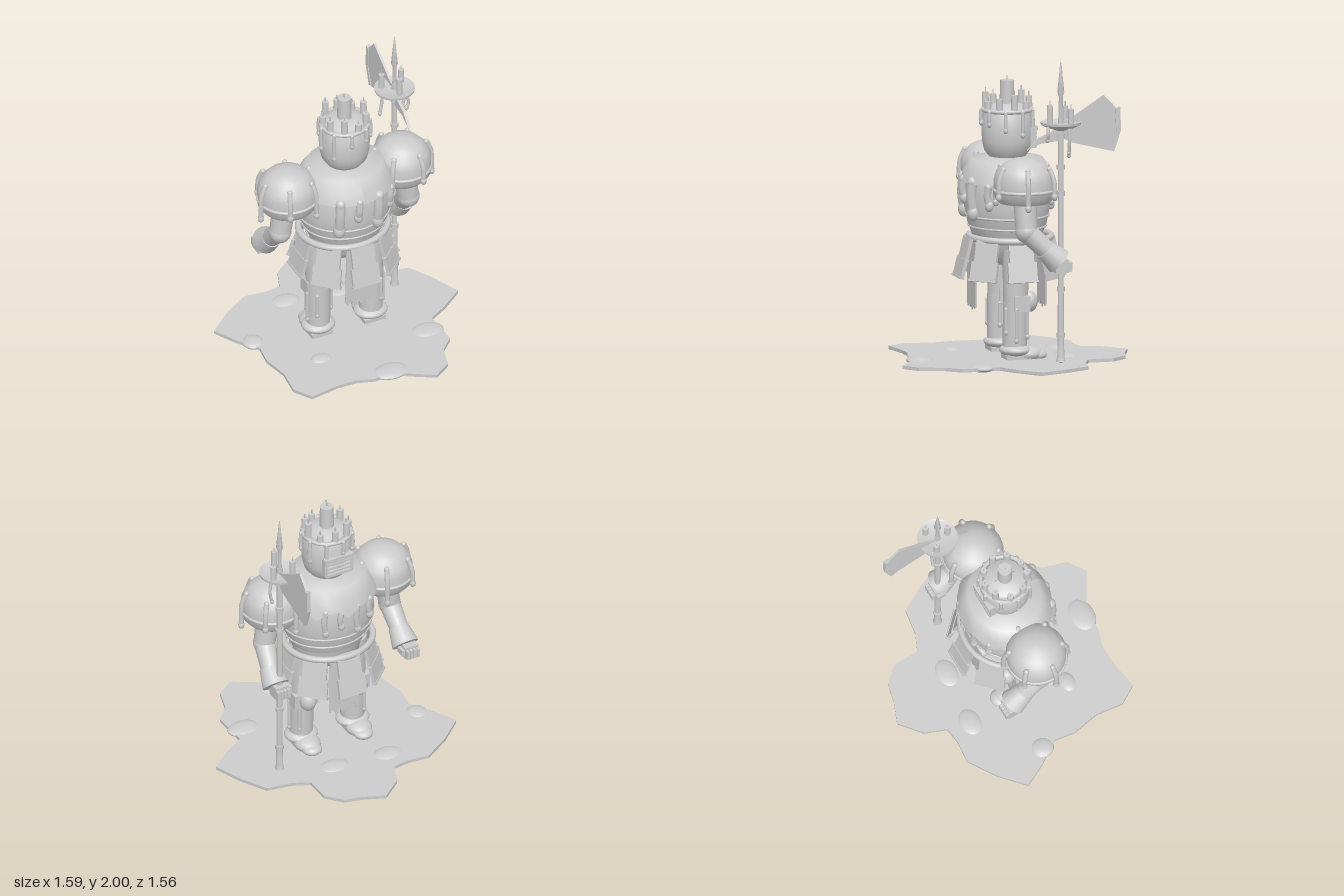
import * as THREE from 'three';
import { toCreasedNormals } from 'three/addons/utils/BufferGeometryUtils.js';

const wax = new THREE.MeshStandardMaterial({ color: 0xcccccc, side: THREE.DoubleSide });
wax.name = 'pale wax';
const V = (x, y, z) => new THREE.Vector3(x, y, z);
const CX = -0.013, CZ = 0.008; // body axis

export function createModel() {
  const root = new THREE.Group();
  root.name = 'waxKnight';
  const add = (name, geo, x = 0, y = 0, z = 0, parent = root) => {
    const m = new THREE.Mesh(geo, wax);
    m.name = name;
    m.position.set(x, y, z);
    parent.add(m);
    return m;
  };
  const box = (name, w, h, d, x, y, z, p) => add(name, new THREE.BoxGeometry(w, h, d), x, y, z, p);
  const ball = (name, rx, ry, rz, x, y, z, p) => {
    const m = add(name, new THREE.SphereGeometry(1, 20, 12), x, y, z, p);
    m.scale.set(rx, ry, rz);
    return m;
  };
  const lathe = (name, pts, x, z, sz = 1, seg = 28, p = root) => {
    const g = new THREE.LatheGeometry(pts.map(q => new THREE.Vector2(q[0], q[1])).reverse(), seg);
    g.scale(1, 1, sz);
    return add(name, toCreasedNormals(g, 0.7), x, 0, z, p);
  };
  // tapered cylinder between two points
  const limb = (name, a, b, ra, rb, seg = 18) => {
    const d = b.clone().sub(a);
    const m = add(name, new THREE.CylinderGeometry(rb, ra, d.length(), seg));
    m.position.copy(a).addScaledVector(d, 0.5);
    m.quaternion.setFromUnitVectors(V(0, 1, 0), d.normalize());
    return m;
  };
  const torus = (name, r, t, x, y, z, sz = 1) => {
    const m = add(name, new THREE.TorusGeometry(r, t, 10, 36), x, y, z);
    m.rotation.x = Math.PI / 2;
    m.scale.y = sz;
    return m;
  };
  // wax run: a tube along points ending in a bead
  const drip = (name, pts, r) => {
    add(name, new THREE.TubeGeometry(new THREE.CatmullRomCurve3(pts), 8, r, 8));
    ball(name + 'Cap', r, r, r, ...pts[0].toArray());
    const e = pts[pts.length - 1];
    ball(name + 'Bead', r * 1.2, r * 1.6, r * 1.2, e.x, e.y, e.z);
  };
  const candle = (x, y, z, r, h) => {
    add('candle', new THREE.CylinderGeometry(r * 0.92, r, h, 14), x, y + h / 2, z);
    add('wick', new THREE.CylinderGeometry(0.004, 0.004, 0.03, 6), x, y + h + 0.015, z);
  };
  // flat outline in the x/y plane, centred on its thickness
  const plate = (name, pts, t) => {
    const g = new THREE.ExtrudeGeometry(new THREE.Shape(pts.map(p => new THREE.Vector2(...p))), { depth: t, bevelEnabled: false });
    g.translate(0, 0, -t / 2);
    return add(name, g);
  };

  // Ragged wax slab
  const slab = plate('groundSlab', [
    [-.015, -.785], [.12, -.73], [.245, -.7], [.335, -.6], [.34, -.43], [.45, -.38], [.615, -.355], [.71, -.19],
    [.79, .005], [.645, .12], [.51, .2], [.52, .45], [.43, .54], [.385, .695], [.27, .775], [.15, .705], [.03, .63],
    [-.105, .64], [-.22, .605], [-.35, .605], [-.545, .64], [-.62, .52], [-.6, .34], [-.635, .16], [-.615, .02],
    [-.72, -.13], [-.795, -.275], [-.64, -.415], [-.46, -.53], [-.32, -.515], [-.21, -.53], [-.155, -.67]], 0.022);
  slab.rotation.x = Math.PI / 2;
  slab.position.y = 0.026;
  for (const [x, z, rx, rz] of [[-.24, -.38, .1, .075], [.12, -.34, .105, .075], [-.62, -.07, .07, .075],
    [-.315, .29, .075, .055], [.43, .3, .11, .082], [.03, .595, .12, .085]])
    ball('waxPuddle', rx, 0.026, rz, x, 0.027, z);

  // Torso, mantle and belt
  lathe('hips', [[0, .82], [.24, .8], [.22, .7], [.14, .63], [0, .61]], CX, CZ, 0.8);
  lathe('torso', [[0, 1.31], [.24, 1.3], [.285, 1.22], [.305, 1.1], [.31, 1], [.285, .89], [.25, .81], [0, .8]], CX, CZ, 0.88);
  const mantle = new THREE.LatheGeometry([[.325, 1.16], [.3, 1.23], [.25, 1.3], [.12, 1.315]].map(p => new THREE.Vector2(...p)), 28);
  const mp = mantle.attributes.position;
  for (let i = 0; i < mp.count; i++) {
    const z = mp.getZ(i);
    if (mp.getY(i) < 1.17 && z < 0.12) mp.setY(i, 1.15 + 0.035 * Math.sin(i * 2.1));
    mp.setZ(i, z * 0.92);
  }
  mantle.computeVertexNormals();
  add('raggedMantle', mantle, CX, 0, CZ);
  torus('belt', 0.29, 0.022, CX, 0.8, -0.012, 0.9);
  for (const y of [.87, .94]) torus('waistBand', y === .87 ? .277 : .297, 0.008, CX, y, CZ, 0.88);
  for (const [x, y, l] of [[-.16, 1.17, .21], [-.04, 1.17, .12], [.105, 1.17, .2], [.22, 1.15, .12]]) {
    const z = 0.29 * Math.sqrt(1 - (x + .013) ** 2 / .1);
    drip('backDrip', [V(x, y, z), V(x - .005, y - l * .5, z + .005), V(x - .005, y - l, z - .008)], y > 1.16 && l > .15 ? .033 : .025);
  }
  for (const [x, y, l] of [[-.2, 1.16, .12], [-.09, 1.17, .18], [.03, 1.15, .1], [.13, 1.17, .16]]) {
    const z = -0.27 * Math.sqrt(1 - (x + .013) ** 2 / .1);
    drip('chestDrip', [V(x, y, z), V(x + .01, y - l * .5, z), V(x, y - l, z)], .02);
  }

  // Two-tier skirt plates
  for (let i = 0; i < 8; i++) {
    const g = new THREE.Group();
    g.name = 'skirtPlate';
    g.position.set(CX, 0, -0.005);
    g.rotation.y = i * Math.PI / 4;
    root.add(g);
    for (const [w, h, y, z] of [[.16, .14, .73, .285], [.19, .12, .61, .32]]) {
      const b = box('skirtPanel', w, h, .022, 0, y, z, g);
      b.rotation.x = -0.24;
      const rim = box('skirtPanelRim', w + .01, .014, .03, 0, y - h / 2, z + .016, g);
      rim.rotation.x = -0.24;
    }
  }
  for (const z of [.24, -.222])
    plate('tabard', [[-.11, .79], [-.118, .37], [-.1, .345], [-.08, .39], [-.055, .345], [-.03, .375], [-.005, .335],
      [.02, .38], [.05, .345], [.07, .385], [.09, .36], [.088, .79]], .008).position.z = z;

  for (const s of [-1, 1]) {
    const lx = CX + s * 0.185;
    // Leg and boot
    limb('thigh', V(lx, .38, .005), V(lx, .74, 0), .078, .088);
    limb('shin', V(lx, .08, .01), V(lx, .4, .005), .076, .08);
    ball('kneeCap', .055, .07, .055, lx, .4, -.085);
    box('kneePlate', .17, .1, .1, lx, .395, -.02);
    ball('ankleCuff', .112, .042, .1, lx, .092, .008);
    ball('boot', .085, .05, .1, lx, .065, -.07);
    ball('toeCap', .065, .035, .065, lx, .055, -.135);
    box('bootSole', .15, .03, .16, lx, .05, 0);
    for (const [a, y, l] of [[1.4, .36, .2], [.5, .36, .15], [-1.3, .35, .14], [2.5, .34, .16]]) {
      const x = lx + s * Math.sin(a) * .082, z = .005 + Math.cos(a) * .082;
      drip('legDrip', [V(x, y, z), V(x, y - l / 2, z), V(x, y - l, z)], .012);
    }

    // Pauldron with wax runs
    const px = CX + s * 0.4;
    lathe('pauldron', [[0, 1.36], [.07, 1.353], [.13, 1.325], [.175, 1.275], [.193, 1.22], [.192, 1.16],
      [.2, 1.155], [.19, 1.105], [.16, 1.07], [0, 1.06]], px, .005);
    torus('pauldronRim', .19, .012, px, 1.15, .005);
    for (let i = 0; i < 6; i++) {
      const a = i * Math.PI / 3 + .35, c = Math.sin(a) * s, d = Math.cos(a), l = i % 2 ? .06 : 0;
      drip('pauldronDrip', [V(px + c * .17, 1.295, d * .17), V(px + c * .2, 1.22, d * .2), V(px + c * .205, 1.12 - l, d * .205)], .017);
    }

    // Arm reaching forward to the hand
    const elbow = V(CX + s * .452, .89, .005), wrist = V(s * .468, .74, -.15);
    limb('upperArm', V(CX + s * .42, 1.12, .01), elbow, .075, .07);
    ball('elbow', .073, .073, .073, elbow.x, elbow.y, elbow.z);
    limb('forearm', elbow, wrist, .068, .06);
    limb('gauntletCuff', V(s * .466, .775, -.11), V(s * .468, .695, -.2), .066, .088);
    const hx = s > 0 ? .45 : -.485;
    box('hand', .095, .085, .085, hx, .665, -.215);
    for (let i = 0; i < 4; i++) box('finger', .02, .06, .035, hx - .036 + i * .024, .66, -.265);
    box('thumb', .03, .04, .06, hx - s * .055, .67, -.225);
  }

  // Helmet with crest, visor bars
  lathe('helmet', [[0, 1.655], [.08, 1.65], [.13, 1.625], [.153, 1.57], [.163, 1.49], [.16, 1.41], [.145, 1.35], [.115, 1.31], [0, 1.3]], CX, CZ);
  const crest = add('helmetCrest', new THREE.TorusGeometry(.15, .01, 8, 20, Math.PI), CX, 1.51, CZ);
  crest.rotation.y = Math.PI / 2;
  box('visorBrow', .2, .03, .04, CX, 1.495, -.148);
  for (let i = 0; i < 3; i++) box('visorBar', .18, .014, .03, CX, 1.465 - i * .028, -.148);
  for (const s of [-1, 1]) box('visorCheek', .02, .12, .04, CX + s * .092, 1.44, -.138);
  box('visorChin', .19, .02, .04, CX, 1.38, -.142);

  // Candle crown
  torus('crownRing', .155, .014, CX, 1.612, CZ);
  candle(CX, 1.62, CZ, .048, .18);
  for (let i = 0; i < 9; i++) {
    const a = i * Math.PI * 2 / 9 + .25, c = Math.sin(a), d = Math.cos(a);
    candle(CX + c * .14, 1.61, CZ + d * .14, .023, .06 + .05 * ((i * 4) % 3) / 2);
    const b = a + .3, l = .07 + .1 * ((i * 5) % 4) / 3, e = Math.sin(b) * .165, f = Math.cos(b) * .165;
    drip('crownDrip', [V(CX + e, 1.61, CZ + f), V(CX + e * 1.02, 1.6 - l / 2, CZ + f * 1.02), V(CX + e, 1.6 - l, CZ + f)], .013);
  }

  // Halberd
  const HX = .45, HZ = -.217;
  lathe('halberdShaft', [[0, 1.62], [.018, 1.62], [.018, .53], [.026, .53], [.026, .5], [.019, .5], [.021, .235],
    [.028, .235], [.028, .205], [.021, .205], [.023, .08], [.03, .05], [0, .04]], HX, HZ, 1, 14);
  for (const y of [1.13, 1.3, 1.5]) add('shaftRing', new THREE.CylinderGeometry(.027, .027, .03, 14), HX, y, HZ);
  lathe('spearPoint', [[0, 2], [.006, 1.95], [.023, 1.78], [.013, 1.75], [.016, 1.58], [0, 1.58]], HX, HZ, 1, 8);
  lathe('candleDish', [[0, 1.58], [.11, 1.582], [.13, 1.59], [.128, 1.575], [.09, 1.555], [.03, 1.535], [0, 1.535]], HX, HZ);
  for (const [x, z, h] of [[.382, -.265, .1], [.52, -.265, .1], [.45, -.145, .12]]) candle(x, 1.58, z, .02, h);
  for (const [x, z, l] of [[.385, -.29, .2], [.525, -.25, .16], [.49, -.12, .08]])
    drip('dishDrip', [V(x, 1.575, z), V(x + .012, 1.56 - l / 2, z), V(x - .003, 1.56 - l, z)], .011);
  // outlines drawn as (-z, y), then turned into the side plane
  const side = m => { m.rotation.y = Math.PI / 2; m.position.x = HX; };
  side(plate('axeBlade', [[.22, 1.585], [.28, 1.61], [.5, 1.75], [.58, 1.665], [.59, 1.52], [.55, 1.39], [.285, 1.455], [.22, 1.49]], .016));
  side(plate('axeEdge', [[.572, 1.66], [.607, 1.67], [.61, 1.52], [.565, 1.385], [.54, 1.4], [.58, 1.52]], .026));
  side(plate('axeBeak', [[.22, 1.54], [.17, 1.535], [.07, 1.49], [-.005, 1.415], [.08, 1.455], [.22, 1.47]], .02));
  return root;
}
